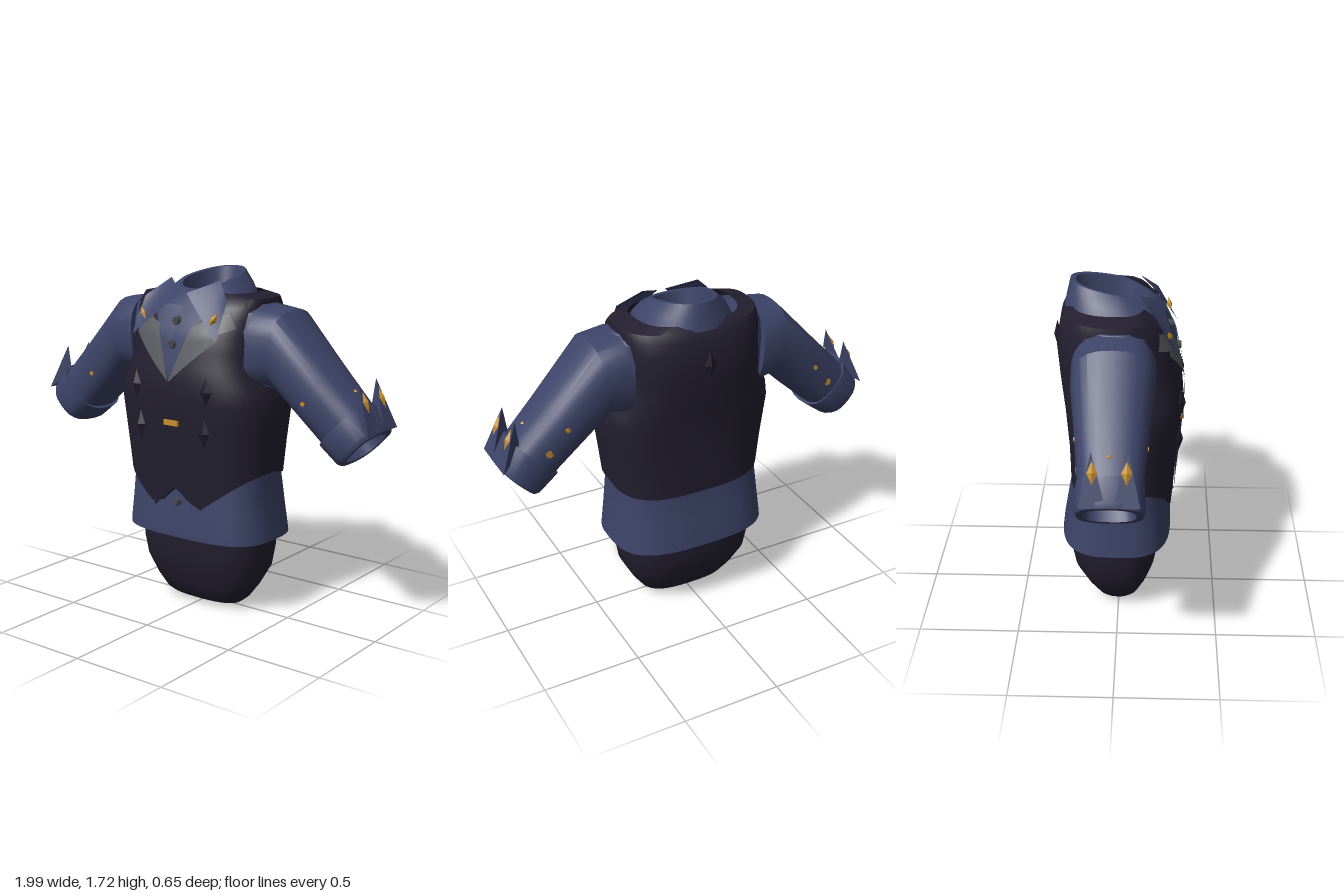
import * as THREE from 'three';
import { toCreasedNormals } from 'three/addons/utils/BufferGeometryUtils.js';

const mat = (name, color) => new THREE.MeshStandardMaterial({ name, color, side: THREE.DoubleSide });
const blue = mat('shirt blue', 0x3d4468), dark = mat('vest dark', 0x231f30), grey = mat('lapel grey', 0x585b60),
  gold = mat('gold', 0xc48e2e), buttonGrey = mat('button grey', 0x45474d), studDark = mat('stud dark', 0x1f1b2b);
const V = (x, y, z) => new THREE.Vector3(x, y, z);
const SEG = 48;

// Profile rows: [y, half width, front z, back z], interpolated by height
const VEST = [[0.5, 0.4, 0.265, 0.25], [0.72, 0.4, 0.28, 0.245], [0.9, 0.42, 0.297, 0.25], [1.1, 0.445, 0.312, 0.265],
  [1.18, 0.432, 0.314, 0.275], [1.27, 0.378, 0.302, 0.288], [1.43, 0.367, 0.268, 0.303], [1.56, 0.368, 0.205, 0.28],
  [1.6, 0.36, 0.15, 0.255], [1.62, 0.26, 0.13, 0.23]];
const SHIRT = [[0.4, 0.415, 0.265, 0.29], [0.43, 0.412, 0.265, 0.286], [0.55, 0.4, 0.255, 0.265], [0.72, 0.385, 0.245, 0.235],
  [1, 0.405, 0.24, 0.23], [1.17, 0.432, 0.21, 0.23], [1.45, 0.432, 0.195, 0.225], [1.54, 0.42, 0.16, 0.2], [1.575, 0.38, 0.1, 0.15]];
const SHORTS = [[0.005, 0.1, 0.05, 0.05], [0.025, 0.21, 0.09, 0.1], [0.05, 0.24, 0.12, 0.13], [0.12, 0.29, 0.155, 0.18],
  [0.22, 0.343, 0.19, 0.235], [0.32, 0.358, 0.208, 0.255], [0.44, 0.365, 0.215, 0.26]];

function at(profile, y) {
  let i = 0;
  while (i < profile.length - 2 && y > profile[i + 1][0]) i++;
  const a = profile[i], b = profile[i + 1], t = THREE.MathUtils.clamp((y - a[0]) / (b[0] - a[0]), 0, 1);
  return a.map((v, k) => v + (b[k] - v) * t);
}
const power = (v, n) => Math.sign(v) * Math.pow(Math.abs(v), 2 / n);
// Rounded-box outline point i as [x, z] in -1..1
const outline = (i, n, seg = SEG) => {
  const t = (i / seg) * Math.PI * 2;
  return [power(Math.cos(t), n), power(Math.sin(t), n)];
};
const ring = (fn, n, seg = SEG) => Array.from({ length: seg }, (_, i) => fn(...outline(i, n, seg)));
const bodyRing = ([y, w, f, b], n) => ring((x, z) => V(x * w, y, z * (z > 0 ? f : b)), n);

function geometry(pts, index, crease) {
  const g = new THREE.BufferGeometry().setFromPoints(pts);
  g.setIndex(index);
  return toCreasedNormals(g, crease);
}
// Skin over a stack of rings, with optional end caps
function loft(rings, capStart, capEnd, crease = 0.6) {
  const n = rings[0].length, pts = rings.flat(), index = [];
  for (let i = 0; i < rings.length - 1; i++) for (let j = 0; j < n; j++) {
    const k = (j + 1) % n, a = i * n + j, b = i * n + k;
    index.push(a, a + n, b + n, a, b + n, b);
  }
  const cap = (r, flip) => {
    const c = pts.length, o = r * n;
    pts.push(rings[r].reduce((s, p) => s.add(p), V(0, 0, 0)).divideScalar(n));
    for (let j = 0; j < n; j++) {
      const k = (j + 1) % n;
      if (flip) index.push(o + k, o + j, c); else index.push(o + j, o + k, c);
    }
  };
  if (capStart) cap(0, false);
  if (capEnd) cap(rings.length - 1, true);
  return geometry(pts, index, crease);
}
// Four-cornered sheet whose points come from fn(u, v); reversed when mirrored
function sheet(corners, side, place) {
  const n = 8, pts = [], index = [];
  for (let i = 0; i <= n; i++) for (let j = 0; j <= n; j++) {
    const p = corners[0].clone().lerp(corners[1], j / n).lerp(corners[3].clone().lerp(corners[2], j / n), i / n);
    p.x *= side;
    pts.push(place ? place(p) : p);
    if (i < n && j < n) {
      const a = i * (n + 1) + j, b = a + 1, c = a + n + 1, d = c + 1;
      if (side > 0) index.push(a, c, d, a, d, b); else index.push(a, d, c, a, b, d);
    }
  }
  return geometry(pts, index, 0.6);
}
const VN = 2.8;
function vestZ(x, y) {
  const [, w, f] = at(VEST, y);
  return f * Math.pow(Math.max(0, 1 - Math.pow(Math.abs(x) / w, VN)), 1 / VN);
}
const onVest = off => p => V(p.x, p.y, vestZ(p.x, p.y) + off);
const flat = list => list.map(([x, y]) => V(x, y, 0));

// Pointed front hem, gently dropping hem at the back
function hem(x, z) {
  if (z < 0) return 0.75 + 0.05 * Math.max(z / 0.24, -1);
  const k = [[-0.4, 0.75], [-0.13, 0.55], [0.02, 0.68], [0.13, 0.55], [0.4, 0.75]];
  for (let i = 0; i < 4; i++) if (x <= k[i + 1][0] || i === 3)
    return k[i][1] + (k[i + 1][1] - k[i][1]) * THREE.MathUtils.clamp((x - k[i][0]) / (k[i + 1][0] - k[i][0]), 0, 1);
}

export function createModel() {
  const root = new THREE.Group();
  const add = (name, geo, material, parent = root) => {
    const m = new THREE.Mesh(geo, material);
    m.name = name;
    parent.add(m);
    return m;
  };
  const diamond = (name, material, w, h, d, pos, rz = 0, ry = 0) => {
    const m = add(name, new THREE.OctahedronGeometry(1).scale(w, h, d), material);
    m.position.copy(pos);
    m.rotation.set(0, ry, rz);
    return m;
  };

  // Torso
  add('shorts', loft(SHORTS.map(r => bodyRing(r, 2.7)), true, true), dark);
  add('shirtBody', loft(SHIRT.map(r => bodyRing(r, 3)), true, true), blue);

  // Vest with turned-in hem
  const hemRing = inset => ring((x, z) => {
    const y = hem(x * 0.4, z * 0.26), [, w, f, b] = at(VEST, y);
    return V(x * (w - inset), y, z * ((z > 0 ? f : b) - inset));
  }, VN);
  const vestRows = [0.8, 0.9, 1, 1.1, 1.18, 1.27, 1.35, 1.43, 1.5, 1.56, 1.6, 1.62];
  add('vest', loft([hemRing(0.025), hemRing(0), ...vestRows.map(y => bodyRing(at(VEST, y), VN))]), dark);
  add('vestOverlapUpper', sheet(flat([[-0.1, 1.15], [0, 1.2], [0.12, 1], [-0.13, 1]]), 1, onVest(0.008)), dark);
  add('vestOverlapLower', sheet(flat([[-0.13, 1], [0.12, 1], [0.025, 0.68], [-0.13, 0.55]]), 1, onVest(0.008)), dark);

  // Collar band, higher at the back, open at the neck
  const neck = (w, f, b, yf, yb) => ring((x, z) =>
    V(x * w, yf + (yb - yf) * (1 - z) / 2, z * (z > 0 ? f : b)), 2.2);
  add('collar', loft([neck(0.235, 0.225, 0.265, 1.565, 1.59), neck(0.2, 0.18, 0.25, 1.61, 1.66),
    neck(0.145, 0.14, 0.235, 1.635, 1.722), neck(0.125, 0.12, 0.21, 1.635, 1.718),
    neck(0.115, 0.11, 0.18, 1.58, 1.6)], false, true), blue);

  for (const s of [1, -1]) {
    const side = s > 0 ? 'left' : 'right';
    // Neckline
    add(side + 'ShirtFront', sheet(flat([[0, 1.6], [0.18, 1.58], [0.12, 1.48], [0, 1.2]]), s, onVest(0.006)), blue);
    add(side + 'Lapel', sheet(flat([[0.1, 1.47], [0.2, 1.52], [0.25, 1.42], [0, 1.2]]), s, onVest(0.012)), grey);
    add(side + 'LapelNotch', sheet(flat([[0.2, 1.52], [0.27, 1.54], [0.31, 1.47], [0.235, 1.44]]), s, onVest(0.014)), grey);
    add(side + 'CollarWing', sheet([V(0.02, 1.62, 0.2), V(0.15, 1.68, 0.1), V(0.25, 1.59, 0.185), V(0.255, 1.41, 0.285)], s), blue);
    diamond(side + 'CollarStud', gold, 0.017, 0.034, 0.014, V(s * 0.215, 1.51, 0.243), -s * 0.6, s * 0.4);

    // Vest studs
    for (const [x, y] of [[0.215, 1.17], [0.197, 0.965]])
      diamond(side + 'VestStud', studDark, 0.032, 0.07, 0.022, V(s * x, y, vestZ(x, y) + 0.006), 0, s * 0.15);

    // Sleeve rings: centre, half vector across the arm, half depth
    const arm = (cx, cy, hx, hy, d) => ring((u, v) =>
      V(s * (cx + u * hx), cy + u * hy, -s * v * d - 0.017), 2.6, 24);
    const along = (t, h, d) => arm(0.907 + t * 0.722, 0.945 - t * 0.692, h * 0.692, h * 0.722, d);
    add(side + 'Sleeve', loft([arm(0.35, 1.37, 0.015, 0.205, 0.2), arm(0.475, 1.372, 0.025, 0.183, 0.195),
      along(-0.35, 0.142, 0.168), along(-0.1, 0.135, 0.145)], true, false), blue);
    add(side + 'Cuff', loft([along(-0.13, 0.12, 0.13), along(-0.135, 0.152, 0.155), along(-0.015, 0.137, 0.16),
      along(0.005, 0.125, 0.15), along(0.005, 0.1, 0.12), along(-0.08, 0.09, 0.11)], false, true), blue);

    // Cuff points with gold studs
    for (const z of [0.06, -0.09]) {
      const out = z > 0 ? 0.02 : -0.02;
      const base = [V(s * 0.995, 1.03, z + 0.06), V(s * 0.995, 1.03, z - 0.06), V(s * 0.885, 1.1, z)];
      const tip = V(s * 0.905, 1.26, z + out * 0.3);
      const idx = [0, 1, 3, 1, 2, 3, 2, 0, 3, 0, 2, 1];
      if (s < 0) idx.reverse();
      add(side + 'CuffPoint', geometry([...base, tip], idx, 0.2), blue);
      diamond(side + 'CuffStud', gold, 0.014, 0.052, 0.024, V(s * 0.943, 1.175, z), s * 0.4);
    }

    // Gold flecks on the sleeve
    for (const [x, y, z, r] of [[0.75, 1.085, 0.13, 0.022], [0.66, 1.145, 0.148, 0.011], [0.68, 1.2, -0.183, 0.012], [0.77, 1.09, -0.167, 0.02]]) {
      const m = add(side + 'SleeveFleck', new THREE.CylinderGeometry(r, r, 0.009, 8).rotateX(Math.PI / 2), gold);
      m.position.set(s * x, y, z);
    }
    diamond(side + 'TopFleck', gold, 0.012, 0.012, 0.012, V(s * 0.84, 1.2, -0.02));
  }

  // Buttons, clasp and back stud
  for (const [y, z] of [[1.49, vestZ(0, 1.49)], [1.38, vestZ(0, 1.38)], [0.585, 0.254]]) {
    const b = add('shirtButton', new THREE.CylinderGeometry(0.019, 0.025, 0.03, 8).rotateX(Math.PI / 2), buttonGrey);
    b.position.set(0, y, z + 0.008);
  }
  add('vestClasp', new THREE.BoxGeometry(0.085, 0.026, 0.02), gold).position.set(0.015, 1, vestZ(0, 1) + 0.01);
  diamond('backStud', studDark, 0.032, 0.07, 0.018, V(0, 1.43, -0.303));
  return root;
}
